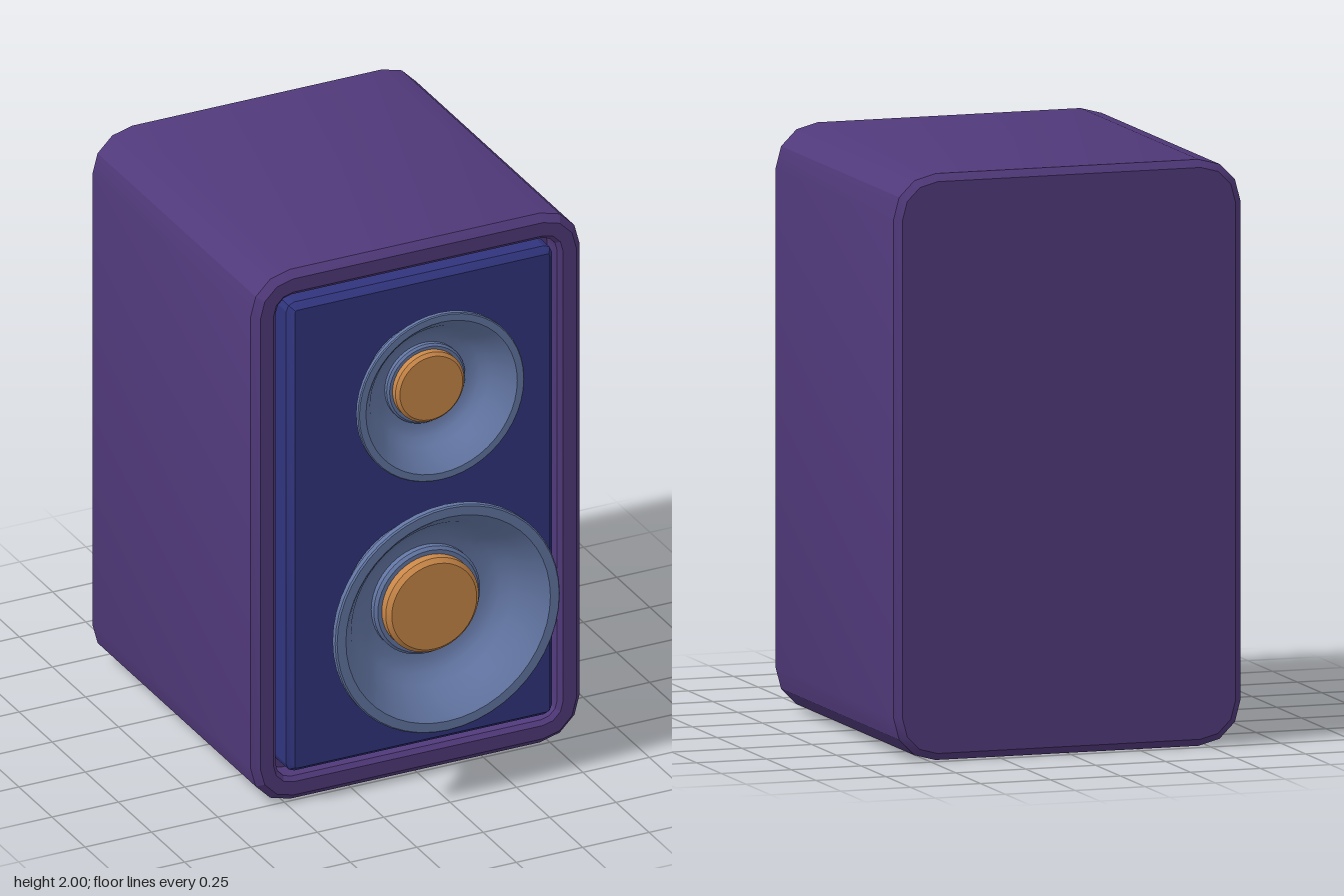
import * as THREE from 'three';
import { toCreasedNormals } from 'three/addons/utils/BufferGeometryUtils.js';

const CABINET = 0x50397a, PANEL = 0x30347c, CONE = 0x6275a2, CAP = 0xc98748;

// Rounded rectangle outline, counter-clockwise seen from the front
function outline(hw, hh, r, segs) {
  const pts = [];
  [[1, 1], [-1, 1], [-1, -1], [1, -1]].forEach(([sx, sy], q) => {
    for (let i = 0; i <= segs; i++) {
      const a = (q + i / segs) * Math.PI / 2;
      pts.push([sx * (hw - r) + r * Math.cos(a), sy * (hh - r) + r * Math.sin(a)]);
    }
  });
  return pts;
}

// Skin a series of [inset, z] rounded rectangles and close both ends
function loft(hw, hh, r, segs, steps) {
  const pos = [], idx = [];
  const n = 4 * (segs + 1);
  for (const [inset, z] of steps) {
    const ring = outline(hw - inset, hh - inset, Math.max(r - inset, 0.01), segs);
    for (const [x, y] of ring) pos.push(x, y, z);
  }
  const last = (steps.length - 1) * n;
  for (let s = 0; s < last; s += n) {
    for (let j = 0; j < n; j++) {
      const k = (j + 1) % n;
      idx.push(s + j, s + k, s + n + k, s + j, s + n + k, s + n + j);
    }
  }
  for (let j = 1; j < n - 1; j++) {
    idx.push(0, j + 1, j, last, last + j, last + j + 1);
  }
  const g = new THREE.BufferGeometry();
  g.setAttribute('position', new THREE.Float32BufferAttribute(pos, 3));
  g.setIndex(idx);
  return toCreasedNormals(g, 0.35);
}

// Turned part whose axis points to the front; profile is [radius, z]
function turned(profile) {
  const g = new THREE.LatheGeometry(profile.map(p => new THREE.Vector2(...p)), 48);
  g.rotateX(Math.PI / 2);
  return toCreasedNormals(g, 0.5);
}

function part(name, geometry, color) {
  const mesh = new THREE.Mesh(geometry, new THREE.MeshStandardMaterial({ color }));
  mesh.name = name;
  return mesh;
}

// Flared driver with a raised centre cap, sized for the large one
function driver(name, y, scale) {
  const group = new THREE.Group();
  group.name = name;
  const horn = turned([
    [0, 0], [0.305, 0], [0.335, 0.055], [0.375, 0.115], [0.415, 0.16], [0.423, 0.165],
    [0.423, 0.185], [0.418, 0.19], [0.385, 0.19], [0.375, 0.18],
    [0.335, 0.13], [0.3, 0.075], [0.27, 0.035], [0.235, 0.015], [0.2, 0.01],
    [0.2, 0.03], [0.19, 0.04], [0.175, 0.04], [0.175, 0.01], [0, 0.01],
  ]);
  const cap = turned([[0.175, 0.01], [0.175, 0.07], [0.16, 0.085], [0, 0.085]]);
  group.add(part('cone', horn, CONE), part('centreCap', cap, CAP));
  group.position.set(0, y, 0.545);
  group.scale.setScalar(scale);
  return group;
}

export function createModel() {
  const model = new THREE.Group();
  model.name = 'loudspeaker';

  // Cabinet with bevelled edges and a recess in the front
  const cabinet = part('cabinet', loft(0.62, 1, 0.15, 3, [
    [0.025, -0.73], [0, -0.71], [0, 0.485], [0.025, 0.51],
    [0.075, 0.51], [0.09, 0.495], [0.09, 0.42],
  ]), CABINET);
  cabinet.position.y = 1;

  // Front panel standing out of the recess
  const panel = part('frontPanel', loft(0.5, 0.885, 0.03, 2, [
    [0, 0.41], [0, 0.515], [0.02, 0.54],
  ]), PANEL);
  panel.position.y = 1.005;

  model.add(cabinet, panel);
  model.add(driver('upperDriver', 1.5, 0.74), driver('lowerDriver', 0.685, 1));
  return model;
}
